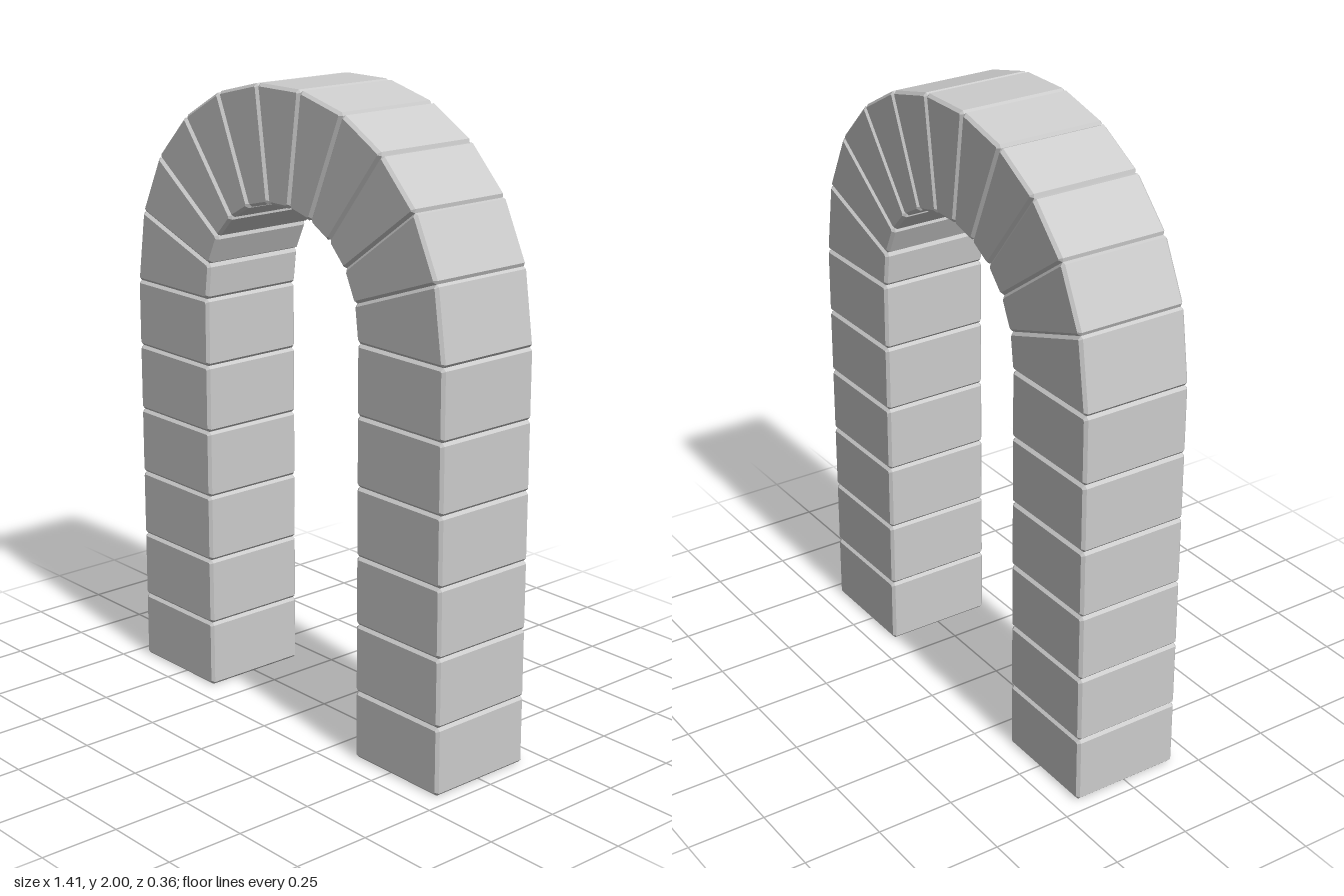
import * as THREE from 'three';

const BEVEL = 0.009;
const DEPTH = 0.36;

// One stone: a four-sided outline (counter-clockwise) with all edges chamfered
function makeBlock(name, corners, material) {
  const pts = corners.map(([x, y]) => new THREE.Vector2(x, y));
  const outline = [];
  pts.forEach((p, i) => {
    for (const q of [pts[(i + 3) % 4], pts[(i + 1) % 4]]) {
      outline.push(q.clone().sub(p).setLength(BEVEL).add(p));
    }
  });
  const geometry = new THREE.ExtrudeGeometry(new THREE.Shape(outline), {
    depth: DEPTH - 2 * BEVEL,
    bevelEnabled: true,
    bevelThickness: BEVEL,
    bevelSize: BEVEL,
    bevelOffset: -BEVEL,
    bevelSegments: 1,
  });
  geometry.translate(0, 0, -DEPTH / 2 + BEVEL);
  const mesh = new THREE.Mesh(geometry, material);
  mesh.name = name;
  return mesh;
}

export function createModel() {
  const model = new THREE.Group();
  model.name = 'stoneArch';
  const stone = new THREE.MeshStandardMaterial({ color: 0xcccccc, flatShading: true });

  const inner = 0.347, outer = 0.707, springY = 1.3, courses = 6;

  // Straight pillars of stacked blocks
  for (const side of [1, -1]) {
    const pillar = new THREE.Group();
    pillar.name = side > 0 ? 'leftPillar' : 'rightPillar';
    const [x0, x1] = side > 0 ? [inner, outer] : [-outer, -inner];
    for (let i = 0; i < courses; i++) {
      const y0 = (springY * i) / courses, y1 = (springY * (i + 1)) / courses;
      pillar.add(makeBlock('pillarBlock', [[x0, y0], [x1, y0], [x1, y1], [x0, y1]], stone));
    }
    model.add(pillar);
  }

  // Arch joints from the left springing to the keystone: outer and inner ends
  const half = [
    [[outer, springY], [inner, springY]],
    [[0.673, 1.533], [0.333, 1.413]],
    [[0.583, 1.72], [0.289, 1.507]],
    [[0.445, 1.861], [0.222, 1.577]],
    [[0.281, 1.954], [0.14, 1.623]],
    [[0.096, 2.0], [0.047, 1.646]],
  ];
  const mirrored = half.map((joint) => joint.map(([x, y]) => [-x, y])).reverse();
  const joints = [...half, ...mirrored];

  // Wedge blocks between neighbouring joints
  const arch = new THREE.Group();
  arch.name = 'arch';
  for (let i = 0; i < joints.length - 1; i++) {
    const [outA, inA] = joints[i], [outB, inB] = joints[i + 1];
    arch.add(makeBlock(i === 5 ? 'keystone' : 'archBlock', [inA, outA, outB, inB], stone));
  }
  model.add(arch);
  return model;
}
